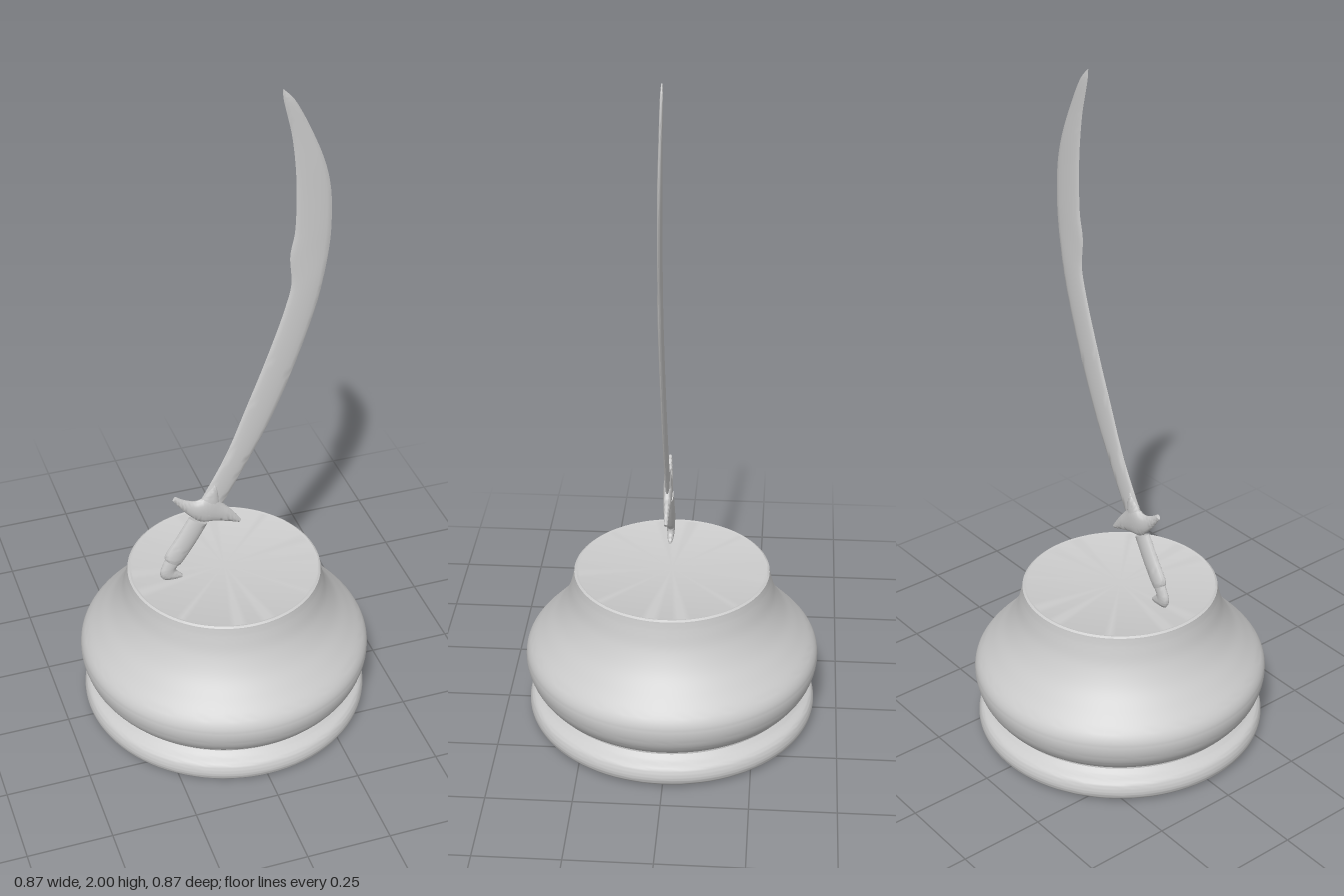
import * as THREE from 'three';
import { toCreasedNormals } from 'three/addons/utils/BufferGeometryUtils.js';

const material = new THREE.MeshStandardMaterial({ color: 0xcccccc });
const swordZ = 0.015;

// Loft elliptical sections between two edges; each station is
// [leftX, leftY, rightX, rightY, halfThickness], smoothed by splines.
function loft(name, stations, steps, sides = 16) {
  const left = new THREE.CatmullRomCurve3(stations.map(s => new THREE.Vector3(s[0], s[1], s[4])));
  const right = new THREE.CatmullRomCurve3(stations.map(s => new THREE.Vector3(s[2], s[3], s[4])));
  const positions = [], index = [];
  for (let i = 0; i <= steps + 2; i++) {
    const u = THREE.MathUtils.clamp((i - 1) / steps, 0, 1);
    const a = left.getPoint(u), b = right.getPoint(u);
    // first and last rings shrink to a point and close the ends
    const k = i === 0 || i === steps + 2 ? 0 : 1;
    for (let j = 0; j < sides; j++) {
      const t = j / sides * Math.PI * 2, c = Math.cos(t) * k / 2;
      positions.push(
        (a.x + b.x) / 2 + (b.x - a.x) * c,
        (a.y + b.y) / 2 + (b.y - a.y) * c,
        Math.sin(t) * k * a.z);
      if (i > 0) {
        const n = (j + 1) % sides, p = (i - 1) * sides, q = i * sides;
        if (i > 1) index.push(p + j, q + j, p + n);
        if (i < steps + 2) index.push(p + n, q + j, q + n);
      }
    }
  }
  const geometry = new THREE.BufferGeometry();
  geometry.setAttribute('position', new THREE.Float32BufferAttribute(positions, 3));
  geometry.setIndex(index);
  const mesh = new THREE.Mesh(toCreasedNormals(geometry, 0.9), material);
  mesh.name = name;
  return mesh;
}

// Round pedestal: flat underside, rounded foot, pinched waist, bulging body
function createPedestal() {
  const v = ([x, y]) => new THREE.Vector2(x, y);
  const foot = new THREE.SplineCurve([
    [0.415, 0.008], [0.426, 0.02], [0.43, 0.04], [0.422, 0.065], [0.4, 0.08], [0.386, 0.093],
  ].map(v)).getPoints(24);
  const body = new THREE.SplineCurve([
    [0.386, 0.098], [0.405, 0.115], [0.427, 0.15], [0.437, 0.195], [0.427, 0.235],
    [0.382, 0.285], [0.34, 0.335], [0.31, 0.39], [0.295, 0.44], [0.289, 0.468],
  ].map(v)).getPoints(48);
  const profile = [v([0, 0]), v([0.355, 0]), v([0.36, 0.006]), ...foot, ...body,
    v([0.288, 0.476]), v([0.282, 0.48]), v([0.276, 0.478]), v([0, 0.478])];
  const mesh = new THREE.Mesh(toCreasedNormals(new THREE.LatheGeometry(profile, 96), 0.6), material);
  mesh.name = 'pedestal';
  return mesh;
}

function createSword() {
  const sword = new THREE.Group();
  sword.name = 'sword';
  // Curved blade, swelling below the tip
  sword.add(loft('blade', [
    [-0.08, 0.74, -0.015, 0.71, 0.007],
    [0, 0.89, 0.06, 0.845, 0.007],
    [0.06, 1.04, 0.13, 0.98, 0.007],
    [0.125, 1.21, 0.2, 1.15, 0.007],
    [0.172, 1.35, 0.262, 1.34, 0.007],
    [0.188, 1.42, 0.28, 1.42, 0.007],
    [0.183, 1.51, 0.294, 1.51, 0.006],
    [0.195, 1.58, 0.299, 1.58, 0.006],
    [0.197, 1.69, 0.295, 1.69, 0.006],
    [0.193, 1.77, 0.278, 1.77, 0.006],
    [0.18, 1.87, 0.238, 1.87, 0.005],
    [0.155, 1.975, 0.185, 1.97, 0.004],
    [0.153, 2, 0.157, 2, 0.002],
  ], 96));
  // Crossguard with tapering arms
  sword.add(loft('crossguard', [
    [0.04, 0.642, 0.047, 0.652, 0.005],
    [0.01, 0.652, 0.02, 0.69, 0.008],
    [-0.035, 0.665, -0.01, 0.725, 0.012],
    [-0.075, 0.67, -0.04, 0.76, 0.014],
    [-0.105, 0.695, -0.09, 0.748, 0.012],
    [-0.135, 0.73, -0.13, 0.763, 0.008],
    [-0.16, 0.765, -0.15, 0.777, 0.005],
  ], 40));
  // Pointed tongue clasping the blade root
  sword.add(loft('guardTongue', [
    [-0.085, 0.71, -0.025, 0.68, 0.013],
    [-0.072, 0.752, -0.018, 0.722, 0.012],
    [-0.05, 0.78, -0.022, 0.765, 0.01],
    [-0.035, 0.797, -0.031, 0.795, 0.007],
  ], 20));
  // Oval grip
  sword.add(loft('grip', [
    [-0.186, 0.554, -0.143, 0.528, 0.012],
    [-0.188, 0.565, -0.137, 0.534, 0.014],
    [-0.15, 0.628, -0.095, 0.596, 0.015],
    [-0.112, 0.692, -0.056, 0.662, 0.014],
  ], 24));
  // Hooked pommel resting on the pedestal
  sword.add(loft('pommel', [
    [-0.135, 0.479, -0.135, 0.491, 0.005],
    [-0.16, 0.478, -0.149, 0.506, 0.009],
    [-0.192, 0.484, -0.154, 0.514, 0.011],
    [-0.203, 0.508, -0.151, 0.523, 0.012],
    [-0.186, 0.556, -0.141, 0.531, 0.012],
  ], 24));
  sword.position.z = swordZ;
  return sword;
}

export function createModel() {
  const model = new THREE.Group();
  model.name = 'swordOnPedestal';
  model.add(createPedestal(), createSword());
  return model;
}
